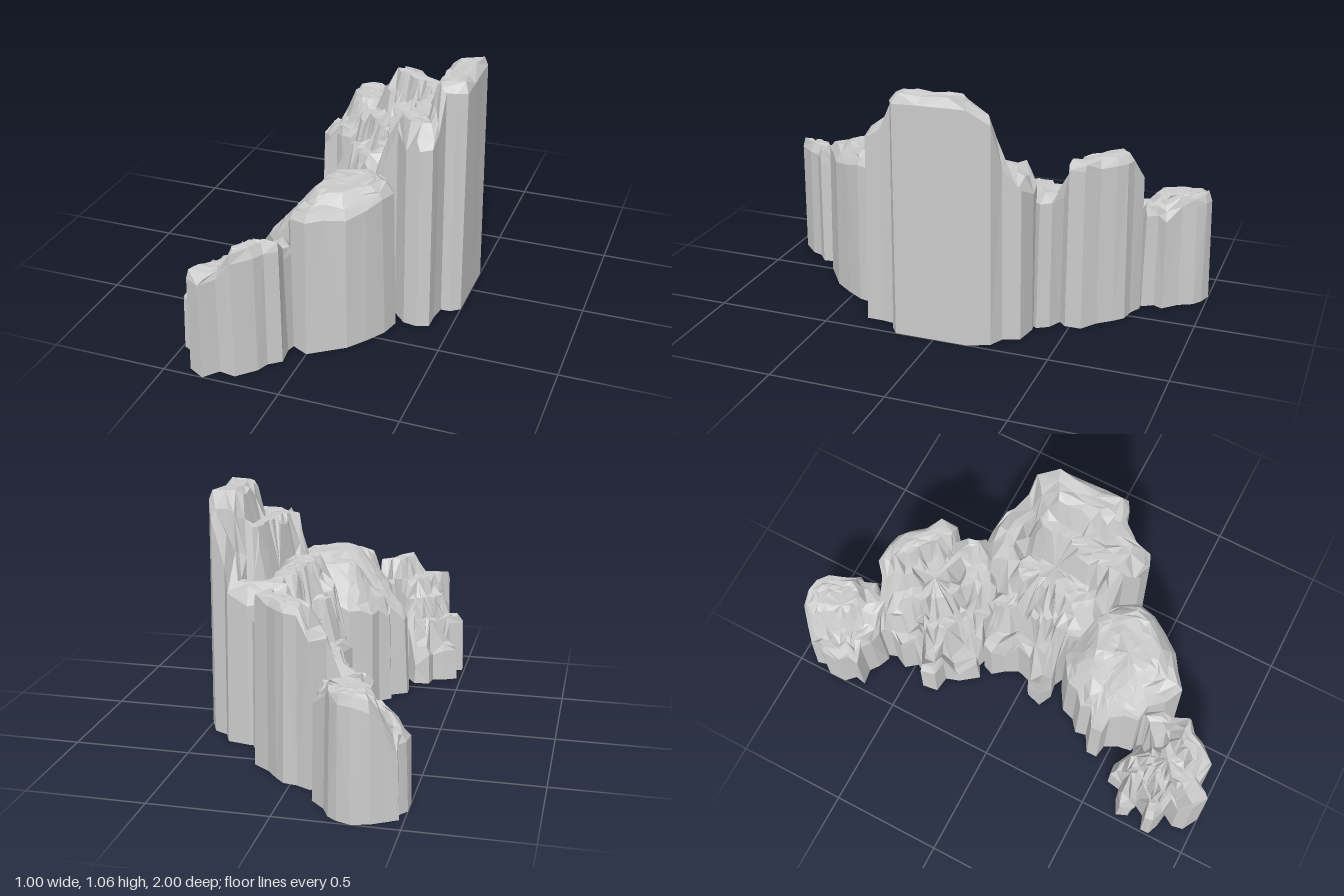
import * as THREE from 'three';

const material = new THREE.MeshStandardMaterial({ color: 0xcccccc, flatShading: true, side: THREE.DoubleSide });

// Small seeded generator for chipped, irregular stone
let seed = 7;
const jitter = (a) => {
  seed = (seed * 16807) % 2147483647;
  return (seed / 2147483647 - 0.5) * 2 * a;
};

// Height of the stones at a point. Each stone is a flat-topped bar
// [x1, z1, x2, z2, radius, height, slope of its flanks]; the highest wins.
function heightAt(stones, x, z) {
  let top = 0.1;
  for (const [x1, z1, x2, z2, r, h, slope = 9] of stones) {
    const dx = x2 - x1, dz = z2 - z1;
    const t = THREE.MathUtils.clamp(((x - x1) * dx + (z - z1) * dz) / (dx * dx + dz * dz || 1), 0, 1);
    const d = Math.hypot(x - x1 - t * dx, z - z1 - t * dz);
    top = Math.max(top, h - slope * Math.max(0, d - r));
  }
  return top;
}

// One rock skin, open underneath: the footprint rises as a cliff to its rim,
// then rings close in on the centre over the stepped stones.
function rock(name, [cx, cz], taper, footprint, stones) {
  const n = footprint.length;
  const inner = taper - 0.08;
  const rings = [1, taper, inner, 0.78, 0.69, 0.6, 0.5, 0.38, 0.22];
  const pos = [], index = [];
  rings.forEach((k, r) => {
    for (const [px, pz] of footprint) {
      const rough = r === 0 ? 0 : r === 1 ? 0.004 : 0.014 * k;
      const x = cx + (px - cx) * k + jitter(rough);
      const z = cz + (pz - cz) * k + jitter(rough);
      // The rim sits a chamfer below the surface just inside it
      const rim = heightAt(stones, cx + (px - cx) * inner, cz + (pz - cz) * inner) - 0.035;
      const y = r === 0 ? 0 : r === 1 ? rim : heightAt(stones, x, z);
      pos.push(x, y + jitter(rough * 0.6), z);
    }
  });
  pos.push(cx, heightAt(stones, cx, cz), cz);
  const last = rings.length - 1;
  for (let i = 0; i < n; i++) {
    const j = (i + 1) % n;
    for (let r = 0; r < last; r++) {
      const a = r * n + i, b = r * n + j;
      // Alternate the diagonal for a broken, faceted look
      if ((i + r) % 2) index.push(a, b, b + n, a, b + n, a + n);
      else index.push(a, b, a + n, b, b + n, a + n);
    }
    index.push(last * n + i, last * n + j, (last + 1) * n);
  }
  const geo = new THREE.BufferGeometry();
  geo.setAttribute('position', new THREE.Float32BufferAttribute(pos, 3));
  geo.setIndex(index);
  const flat = geo.toNonIndexed();
  flat.computeVertexNormals();
  const mesh = new THREE.Mesh(flat, material);
  mesh.name = name;
  return mesh;
}

export function createModel() {
  const model = new THREE.Group();
  model.name = 'rockWall';

  // Footprints run from the inner back corner, along the inside, and back along the outside
  // Low rock at the back end, sloping down to the inside
  model.add(rock('backEndRock', [-0.31, -0.81], 0.96, [
    [-0.43, -0.95], [-0.48, -0.92], [-0.47, -0.88], [-0.5, -0.84], [-0.5, -0.76], [-0.46, -0.72], [-0.47, -0.67],
    [-0.4, -0.68], [-0.36, -0.65], [-0.31, -0.63], [-0.25, -0.65], [-0.18, -0.65], [-0.16, -0.71], [-0.11, -0.74],
    [-0.14, -0.79], [-0.12, -0.83], [-0.18, -0.89], [-0.21, -0.95], [-0.25, -0.98], [-0.31, -1], [-0.38, -0.98],
  ], [
    [-0.29, -0.92, -0.26, -0.84, 0.08, 0.5, 2.5], [-0.24, -0.84, -0.19, -0.73, 0.07, 0.46, 1.5],
    [-0.45, -0.84, -0.41, -0.73, 0.05, 0.32, 3], [-0.36, -0.75, -0.32, -0.69, 0.05, 0.37, 3],
  ]));

  // Ridge between the back end and the peak
  model.add(rock('backRidge', [-0.04, -0.48], 0.97, [
    [-0.15, -0.69], [-0.22, -0.69], [-0.3, -0.66], [-0.28, -0.6], [-0.31, -0.54], [-0.27, -0.49], [-0.3, -0.44],
    [-0.35, -0.42], [-0.34, -0.35], [-0.27, -0.34], [-0.25, -0.28], [-0.19, -0.2], [-0.14, -0.23], [-0.1, -0.22],
    [-0.05, -0.24], [0, -0.21], [0.07, -0.22], [0.13, -0.26], [0.18, -0.29], [0.25, -0.37], [0.22, -0.42], [0.16, -0.45],
    [0.19, -0.48], [0.19, -0.55], [0.12, -0.6], [0.07, -0.66], [0.03, -0.7], [-0.03, -0.71], [-0.09, -0.74],
  ], [
    [-0.01, -0.65, 0.14, -0.53, 0.06, 0.74], [-0.09, -0.68, -0.06, -0.6, 0.05, 0.65], [0.18, -0.4, 0.06, -0.31, 0.06, 0.6],
    [0, -0.5, 0.1, -0.46, 0.05, 0.61], [-0.14, -0.58, -0.02, -0.42, 0.05, 0.53], [-0.21, -0.63, -0.17, -0.56, 0.05, 0.46],
    [-0.2, -0.45, -0.08, -0.34, 0.04, 0.4], [-0.27, -0.57, -0.24, -0.5, 0.03, 0.33], [-0.3, -0.39, -0.26, -0.39, 0.04, 0.24],
    [-0.18, -0.25, -0.17, -0.3, 0.03, 0.22], [-0.06, -0.29, 0, -0.27, 0.04, 0.42],
  ]));

  // Tall central peak with a stepped inner side
  model.add(rock('peak', [0.22, -0.02], 0.985, [
    [0.2, -0.35], [0.12, -0.3], [0.04, -0.3], [0, -0.25], [-0.02, -0.2], [-0.07, -0.22], [-0.13, -0.21], [-0.15, -0.16],
    [-0.11, -0.11], [-0.08, -0.05], [-0.1, 0.02], [-0.16, 0.04], [-0.18, 0.11], [-0.12, 0.14], [-0.06, 0.13], [0, 0.16],
    [0.02, 0.21], [0.08, 0.24], [0.13, 0.27], [0.18, 0.28], [0.24, 0.29], [0.3, 0.35], [0.36, 0.36], [0.41, 0.34],
    [0.41, 0.27], [0.42, 0.2], [0.46, 0.2], [0.5, 0.17], [0.5, 0.06], [0.5, -0.06], [0.5, -0.15], [0.46, -0.24],
    [0.4, -0.27], [0.37, -0.34], [0.27, -0.36],
  ], [
    [0.43, 0.13, 0.43, -0.1, 0.065, 1.05, 5], [0.46, 0.16, 0.48, -0.1, 0.03, 1.04, 5], [0.42, -0.14, 0.43, -0.19, 0.045, 0.99, 7],
    [0.26, 0.22, 0.35, 0.25, 0.065, 0.9], [0.28, 0.14, 0.33, -0.1, 0.05, 0.9, 5], [0.33, 0.3, 0.37, 0.31, 0.04, 0.85],
    [0.16, -0.26, 0.33, -0.28, 0.05, 0.7], [0.13, 0.18, 0.16, -0.15, 0.05, 0.71, 6], [0.04, 0.08, 0.04, 0, 0.04, 0.58, 6],
    [0.03, -0.2, 0.06, -0.15, 0.05, 0.52, 6], [0.05, 0.16, 0.08, 0.18, 0.04, 0.6], [-0.09, -0.16, -0.05, -0.16, 0.05, 0.33],
    [-0.14, 0.09, -0.1, 0.08, 0.04, 0.2], [-0.04, -0.06, -0.03, 0.06, 0.04, 0.38],
  ]));

  // Broad domed rock in front of the peak
  model.add(rock('frontDome', [0.02, 0.43], 0.95, [
    [-0.05, 0.16], [-0.1, 0.19], [-0.15, 0.22], [-0.17, 0.28], [-0.22, 0.32], [-0.21, 0.37], [-0.28, 0.41], [-0.28, 0.46],
    [-0.22, 0.47], [-0.19, 0.53], [-0.18, 0.59], [-0.12, 0.61], [-0.08, 0.67], [0, 0.71], [0.07, 0.66], [0.14, 0.61],
    [0.2, 0.53], [0.25, 0.45], [0.27, 0.37], [0.23, 0.28], [0.18, 0.23], [0.13, 0.18], [0.05, 0.16],
  ], [
    [0.05, 0.5, 0.15, 0.4, 0.07, 0.68, 1.2], [0.02, 0.34, 0.13, 0.3, 0.06, 0.65, 1.6], [0, 0.63, 0.05, 0.58, 0.06, 0.64, 1.8],
    [-0.1, 0.54, -0.12, 0.36, 0.05, 0.5, 3],
  ]));

  // Low rock at the front end, stepping down to the inside
  model.add(rock('frontEndRock', [-0.26, 0.77], 0.97, [
    [-0.18, 0.6], [-0.25, 0.61], [-0.29, 0.55], [-0.36, 0.56], [-0.37, 0.62], [-0.42, 0.63], [-0.48, 0.66], [-0.46, 0.71],
    [-0.4, 0.72], [-0.43, 0.77], [-0.49, 0.79], [-0.49, 0.83], [-0.44, 0.85], [-0.38, 0.86], [-0.41, 0.91], [-0.4, 0.96],
    [-0.33, 1], [-0.28, 0.94], [-0.21, 0.95], [-0.14, 0.88], [-0.12, 0.83], [-0.07, 0.79], [-0.08, 0.71], [-0.06, 0.64], [-0.11, 0.57],
  ], [
    [-0.2, 0.89, -0.13, 0.79, 0.055, 0.55], [-0.13, 0.69, -0.12, 0.63, 0.05, 0.47], [-0.34, 0.93, -0.22, 0.78, 0.05, 0.46],
    [-0.34, 0.82, -0.25, 0.7, 0.04, 0.38], [-0.45, 0.81, -0.41, 0.8, 0.035, 0.28], [-0.34, 0.69, -0.28, 0.65, 0.04, 0.29],
    [-0.43, 0.67, -0.4, 0.68, 0.035, 0.18], [-0.32, 0.59, -0.31, 0.61, 0.03, 0.18],
  ]));

  return model;
}
